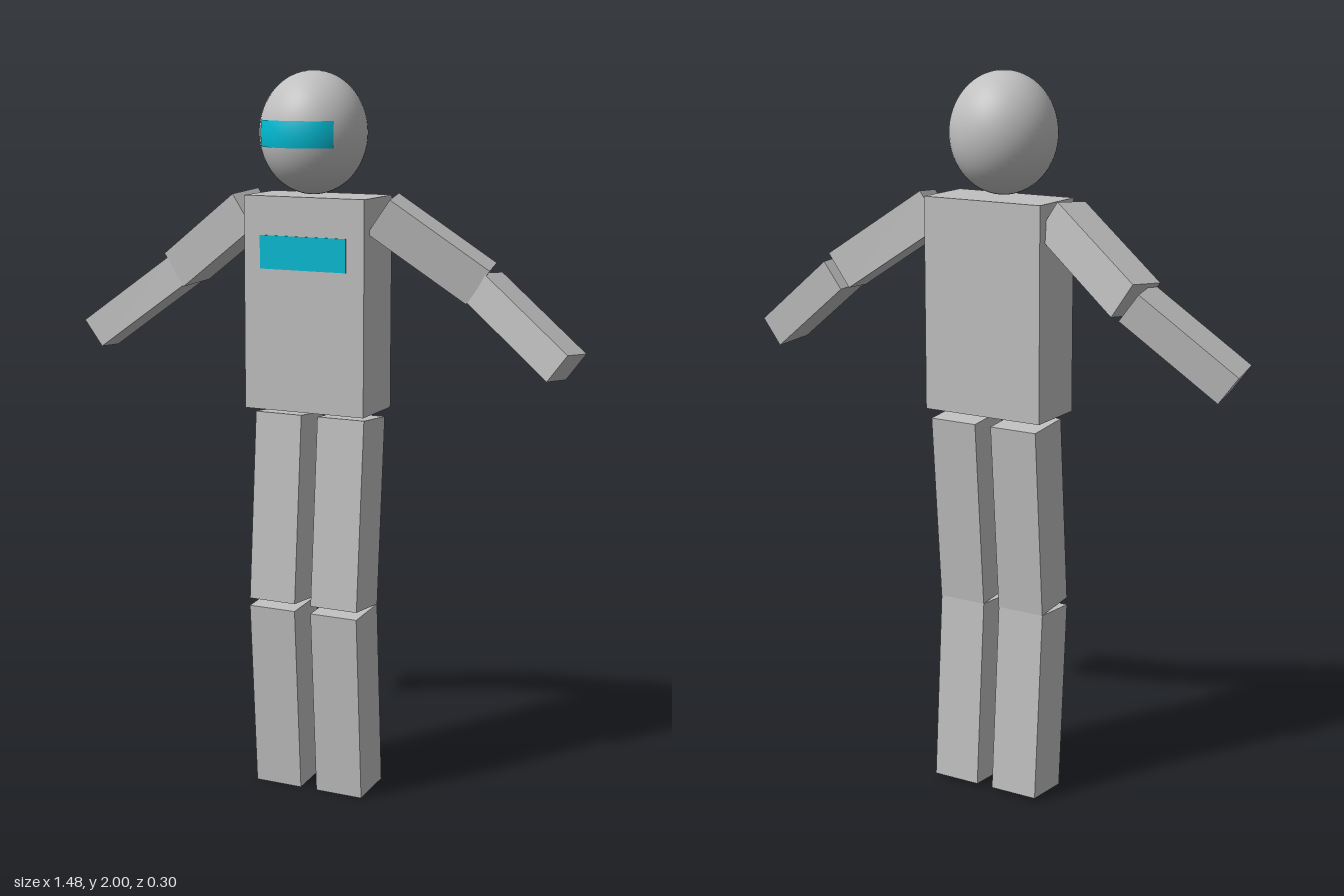
import * as THREE from 'three';

export function createModel() {
  const model = new THREE.Group();
  model.name = 'robotFigure';
  const grey = new THREE.MeshStandardMaterial({ color: 0xc0c0c0 });
  grey.name = 'silverGrey';
  const cyan = new THREE.MeshStandardMaterial({ color: 0x00bcd4 });
  cyan.name = 'cyan';

  function add(name, geometry, material, x, y, z) {
    const mesh = new THREE.Mesh(geometry, material);
    mesh.name = name;
    mesh.position.set(x, y, z);
    model.add(mesh);
    return mesh;
  }

  // Box whose length runs along one direction and whose front faces another
  function arm(name, side, size, centre, along, front) {
    const mesh = add(name, new THREE.BoxGeometry(...size), grey, side * centre[0], centre[1], centre[2]);
    const x = new THREE.Vector3(side * along[0], along[1], along[2]).normalize();
    const z = new THREE.Vector3(side * front[0], front[1], front[2]);
    z.addScaledVector(x, -z.dot(x)).normalize();
    const y = new THREE.Vector3().crossVectors(z, x);
    mesh.quaternion.setFromRotationMatrix(new THREE.Matrix4().makeBasis(x, y, z));
  }

  // Torso and chest panel
  add('torso', new THREE.BoxGeometry(0.355, 0.58, 0.178), grey, 0, 1.38, -0.022);
  add('chestPanel', new THREE.BoxGeometry(0.254, 0.09, 0.004), cyan, -0.002, 1.52, 0.068);

  // Egg-shaped head
  const rx = 0.145, ry = 0.163, headY = 1.837, headZ = 0.004;
  const head = new THREE.SphereGeometry(1, 48, 32);
  head.scale(rx, ry, rx);
  add('head', head, grey, 0, headY, headZ);

  // Visor: a flat strip wrapped on to the front of the head
  const visor = new THREE.PlaneGeometry(0.212, 0.07, 32, 8);
  const p = visor.attributes.position;
  for (let i = 0; i < p.count; i++) {
    const x = p.getX(i), y = p.getY(i);
    const r2 = 1 - (x / rx) ** 2 - (y / ry) ** 2;
    p.setZ(i, rx * Math.sqrt(r2) + 0.002);
  }
  visor.computeVertexNormals();
  add('visor', visor, cyan, 0, headY, headZ);

  for (const side of [1, -1]) {
    const label = side > 0 ? 'left' : 'right';

    // Arms, spread out and bent slightly forward at the elbow
    arm(label + 'UpperArm', side, [0.32, 0.11, 0.112],
      [0.319, 1.538, -0.057], [0.798, -0.563, -0.21], [0.196, -0.089, 0.977]);
    arm(label + 'Forearm', side, [0.325, 0.091, 0.111],
      [0.577, 1.346, -0.067], [0.78, -0.59, 0.16], [-0.125, 0.09, 1]);

    // Legs, slightly bent at the knee
    const thigh = add(label + 'Thigh', new THREE.BoxGeometry(0.139, 0.526, 0.138), grey, side * 0.094, 0.807, -0.016);
    thigh.rotation.x = -0.081;
    const shin = add(label + 'Shin', new THREE.BoxGeometry(0.139, 0.53, 0.138), grey, side * 0.094, 0.27, -0.013);
    shin.rotation.x = 0.072;
  }
  return model;
}
